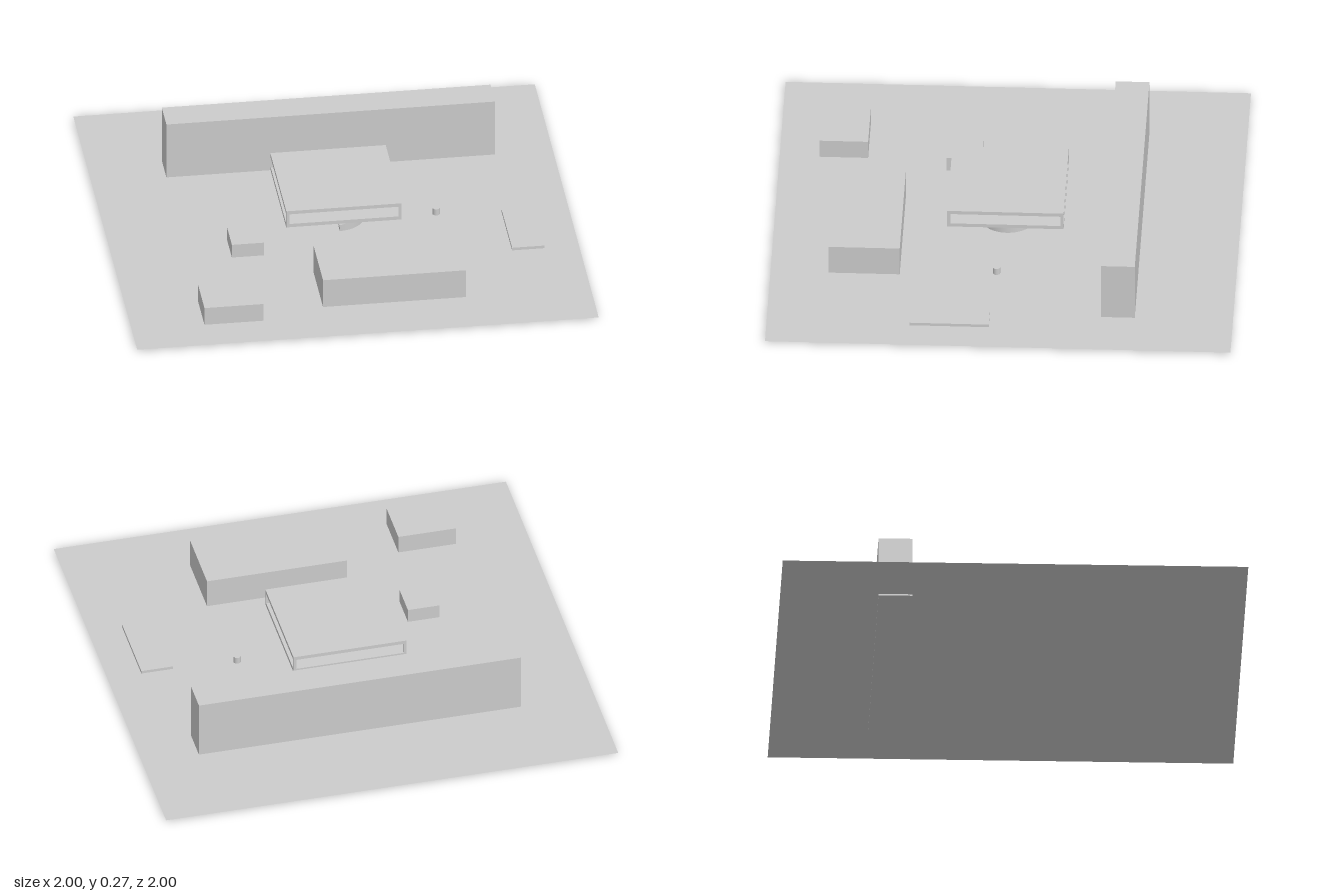
import * as THREE from 'three';
import { toCreasedNormals } from 'three/addons/utils/BufferGeometryUtils.js';

const grey = new THREE.MeshStandardMaterial({ color: 0xcccccc });
const thin = new THREE.MeshStandardMaterial({ color: 0xcccccc, side: THREE.DoubleSide });

function add(parent, name, geometry, material = grey) {
  const mesh = new THREE.Mesh(geometry, material);
  mesh.name = name;
  parent.add(mesh);
  return mesh;
}

// Box given by its minimum and maximum on each axis
function block(parent, name, [x0, x1], [y0, y1], [z0, z1]) {
  const mesh = add(parent, name, new THREE.BoxGeometry(x1 - x0, y1 - y0, z1 - z0));
  mesh.position.set((x0 + x1) / 2, (y0 + y1) / 2, (z0 + z1) / 2);
}

// Three-quarter-turn solid between two radii, its top climbing with the turn
function spiral(r0, r1, base, startTop, endTop, steps = 48) {
  const pos = [];
  const index = [];
  for (let i = 0; i <= steps; i++) {
    const t = i / steps;
    const a = t * Math.PI * 1.5;
    const top = startTop + (endTop - startTop) * t;
    for (const [r, y] of [[r0, base], [r1, base], [r1, top], [r0, top]]) {
      pos.push(r * Math.sin(a), y, r * Math.cos(a));
    }
    if (i < steps) {
      for (let k = 0; k < 4; k++) {
        const p = i * 4 + k;
        const q = i * 4 + (k + 1) % 4;
        index.push(p, p + 4, q, q, p + 4, q + 4);
      }
    }
  }
  const e = steps * 4;
  index.push(0, 1, 2, 0, 2, 3, e, e + 2, e + 1, e, e + 3, e + 2);
  const g = new THREE.BufferGeometry();
  g.setAttribute('position', new THREE.Float32BufferAttribute(pos, 3));
  g.setIndex(index);
  return toCreasedNormals(g, 0.6);
}

export function createModel() {
  const model = new THREE.Group();
  model.name = 'site';
  const G = 0.007;

  // Ground sheet
  const ground = add(model, 'ground', new THREE.PlaneGeometry(2, 2), thin);
  ground.rotation.x = -Math.PI / 2;
  ground.position.y = G;

  // Surrounding blocks
  block(model, 'longBackBlock', [-0.675, 0.75], [0, 0.27], [-0.578, -0.433]);
  block(model, 'frontBlock', [-0.16, 0.46], [G, 0.14], [0.445, 0.75]);
  block(model, 'cornerBlock', [-0.685, -0.43], [G, 0.09], [0.62, 0.83]);
  block(model, 'smallBlock', [-0.49, -0.35], [G, 0.07], [0.128, 0.28]);
  block(model, 'lowSlab', [0.71, 0.85], [G, 0.02], [0.045, 0.385]);
  const post = add(model, 'roundPost', new THREE.CylinderGeometry(0.016, 0.016, 0.03, 24));
  post.position.set(0.43, G + 0.015, 0.03);

  // Raised pavilion: two slabs held apart by corner posts
  const pavilion = new THREE.Group();
  pavilion.name = 'pavilion';
  model.add(pavilion);
  const h = 0.25;
  const w = 0.013;
  block(pavilion, 'floorSlab', [-h, h], [0.12, 0.136], [-h, h]);
  block(pavilion, 'roofSlab', [-h, h], [0.184, 0.2], [-h, h]);
  for (const x of [-h, h - w]) {
    for (const z of [-h, h - w]) {
      block(pavilion, 'cornerPost', [x, x + w], [0.136, 0.184], [z, z + w]);
    }
  }

  // Spiral ramp with a parapet on each edge
  const ramp = new THREE.Group();
  ramp.name = 'spiralRamp';
  model.add(ramp);
  add(ramp, 'rampBody', spiral(0.035, 0.112, G, 0.015, 0.125));
  add(ramp, 'outerParapet', spiral(0.112, 0.12, G, 0.035, 0.145));
  add(ramp, 'innerParapet', spiral(0.027, 0.035, G, 0.035, 0.145));

  return model;
}
